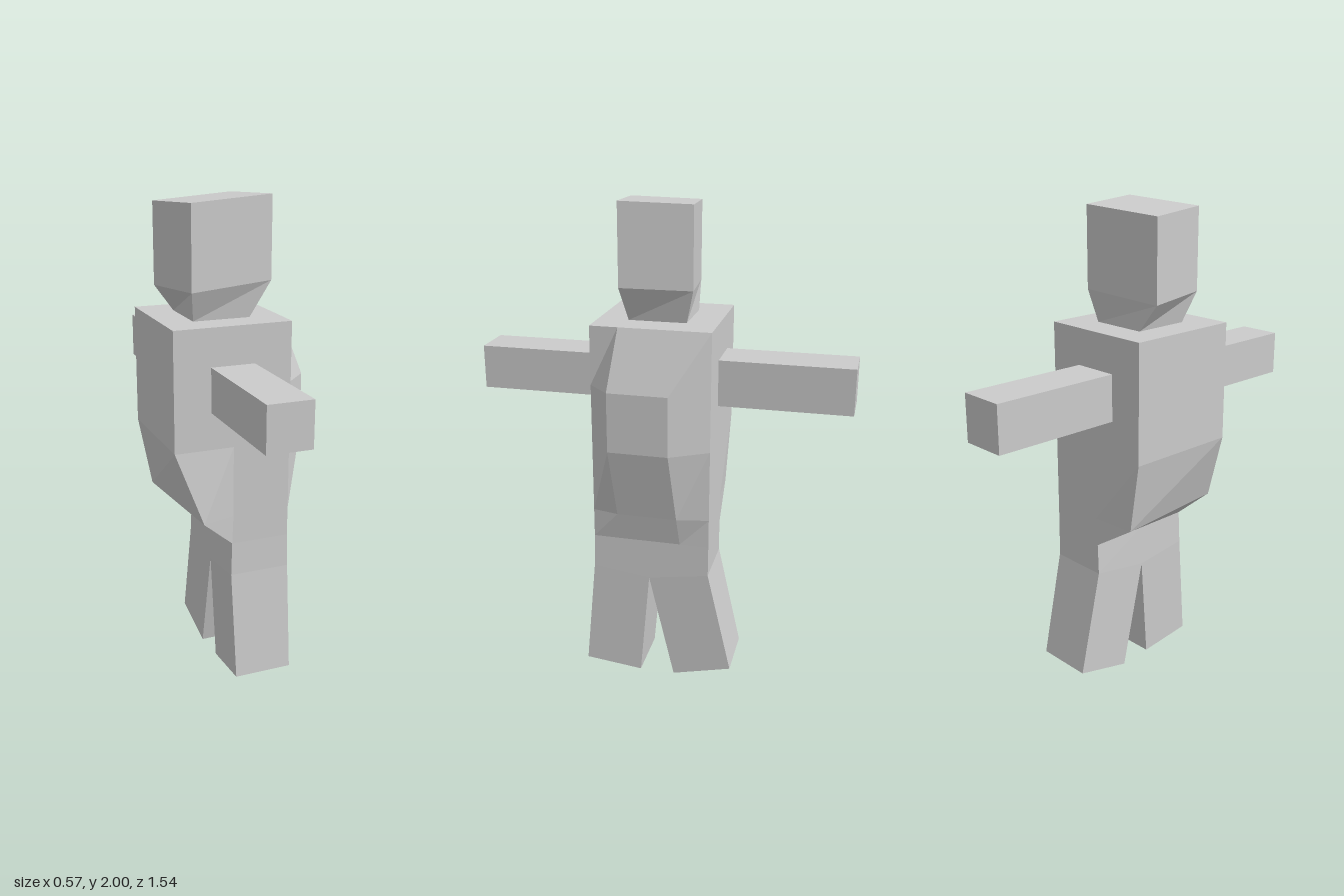
import * as THREE from 'three';

const material = new THREE.MeshStandardMaterial({ color: 0xcccccc, flatShading: true });

// Closed faceted skin over rings listed bottom to top, each anticlockwise seen from above.
function loft(name, rings) {
  const pos = [];
  const tri = (a, b, c) => pos.push(...a, ...b, ...c);
  const n = rings[0].length;
  for (let i = 0; i < rings.length - 1; i++) {
    for (let j = 0; j < n; j++) {
      const k = (j + 1) % n;
      const [a, b, c, d] = [rings[i][j], rings[i][k], rings[i + 1][k], rings[i + 1][j]];
      tri(a, b, c);
      tri(a, c, d);
    }
  }
  const bottom = rings[0], top = rings[rings.length - 1];
  for (let j = 1; j < n - 1; j++) {
    tri(bottom[0], bottom[j + 1], bottom[j]);
    tri(top[0], top[j], top[j + 1]);
  }
  const geometry = new THREE.BufferGeometry();
  geometry.setAttribute('position', new THREE.Float32BufferAttribute(pos, 3));
  geometry.computeVertexNormals();
  const mesh = new THREE.Mesh(geometry, material);
  mesh.name = name;
  return mesh;
}

const Z0 = -0.23, Z1 = 0.255; // sides of the torso

// Torso section: two rear corners, and a bulge reaching x on the chest side.
function torsoRing(y, rearA, rearB, x, bulgeZ0, bulgeZ1) {
  return [
    [rearA[0], y, rearA[1]], [-0.045, y, Z1], [0.195, y, Z1],
    [x, y, bulgeZ1], [x, y, bulgeZ0],
    [0.195, y, Z0], [-0.045, y, Z0], [rearB[0], y, rearB[1]],
  ];
}

// Leg section: lower and upper z edges may sit at different heights.
function legRing(x0, x1, [zBack, yBack], [zFront, yFront]) {
  return [[x0, yFront, zFront], [x1, yFront, zFront], [x1, yBack, zBack], [x0, yBack, zBack]];
}

export function createModel() {
  const group = new THREE.Group();
  group.name = 'figure';

  // Torso with rounded chest and tapering rear
  const rearA = [-0.29, Z1], rearB = [-0.29, Z0];
  group.add(loft('torso', [
    torsoRing(0.63, [-0.05, Z1], [-0.05, Z0], 0.196, -0.11, 0.14),
    torsoRing(0.75, [-0.185, 0.295], [-0.235, -0.22], 0.22, -0.1, 0.147),
    torsoRing(1.045, rearA, rearB, 0.285, -0.08, 0.165),
    torsoRing(1.29, rearA, rearB, 0.285, -0.08, 0.165),
    torsoRing(1.53, rearA, rearB, 0.196, -0.11, 0.14),
  ]));

  // Legs, splayed apart below the hips
  group.add(loft('leftLeg', [
    legRing(-0.047, 0.198, [0.06, 0.005], [0.3, 0.03]),
    legRing(-0.055, 0.198, [0.02, 0.46], [0.258, 0.49]),
    legRing(-0.05, 0.195, [0.02, 0.63], [Z1, 0.63]),
  ]));
  group.add(loft('rightLeg', [
    legRing(-0.055, 0.19, [-0.33, 0.06], [-0.085, 0]),
    legRing(-0.055, 0.198, [-0.23, 0.5], [0.02, 0.46]),
    legRing(-0.05, 0.195, [Z0, 0.63], [0.02, 0.63]),
  ]));

  // Arms held straight out
  for (const side of [1, -1]) {
    const inner = side > 0 ? Z1 : -Z0;
    const size = side > 0 ? 0.18 : 0.19;
    const arm = new THREE.Mesh(new THREE.BoxGeometry(size, size, 0.77 - inner + 0.01), material);
    arm.position.set(-0.049, 1.286, side * (0.77 + inner - 0.01) / 2);
    arm.name = side > 0 ? 'leftArm' : 'rightArm';
    group.add(arm);
  }

  // Turned, slightly tilted head narrowing to the neck
  group.add(loft('head', [
    [[-0.165, 1.53, 0.13], [0.07, 1.53, 0.13], [0.07, 1.53, -0.105], [-0.165, 1.53, -0.105]],
    [[-0.19, 1.65, 0.187], [0.153, 1.673, 0.147], [0.096, 1.662, -0.135], [-0.247, 1.64, -0.096]],
    [[-0.19, 1.98, 0.187], [0.153, 2.0, 0.147], [0.096, 1.988, -0.135], [-0.247, 1.967, -0.096]],
  ]));

  return group;
}
